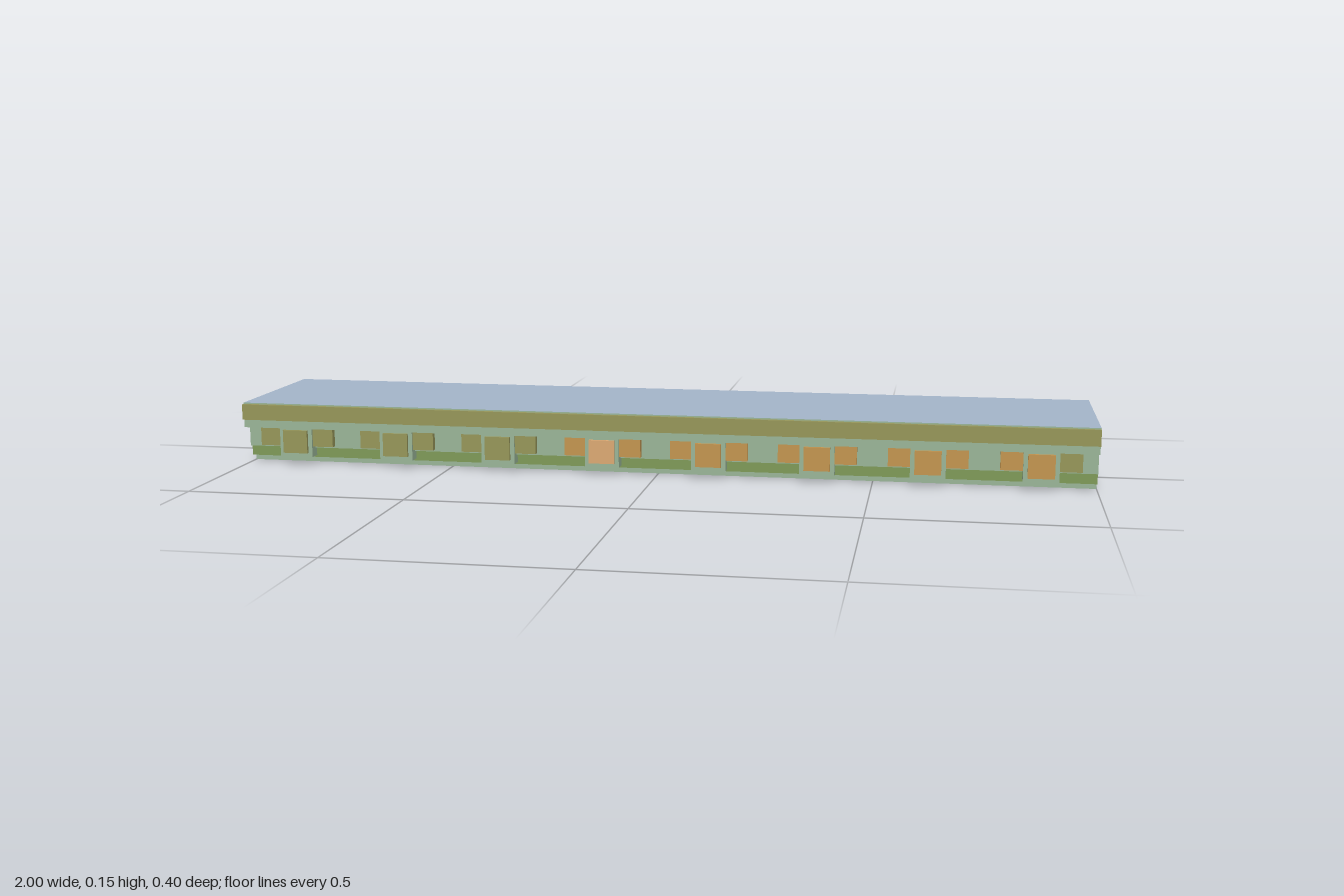
import * as THREE from 'three';

const mat = (name, color) => {
  const m = new THREE.MeshStandardMaterial({ color });
  m.name = name;
  return m;
};

export function createModel() {
  const wall = mat('pale green', 0x9ab598);
  const roof = mat('blue grey', 0xa3b5c9);
  const green = mat('leaf green', 0x7f9a58);
  const olive = mat('olive', 0x97975a);
  const orange = mat('orange', 0xc39650);
  const peach = mat('peach', 0xdcaa74);

  const group = new THREE.Group();
  group.name = 'cornice';

  // Box given by its low and high limits on each axis
  const box = (name, material, [x0, x1], [y0, y1], [z0, z1]) => {
    const mesh = new THREE.Mesh(new THREE.BoxGeometry(x1 - x0, y1 - y0, z1 - z0), material);
    mesh.position.set((x0 + x1) / 2, (y0 + y1) / 2, (z0 + z1) / 2);
    mesh.name = name;
    group.add(mesh);
  };
  // Same limits, with z measured outward from the centre on side s
  const sideBox = (name, material, s, x, y, [a, b]) =>
    box(name, material, x, y, s > 0 ? [a, b] : [-b, -a]);

  // Stepped core, with a blue-grey top face
  const full = [-1, 1];
  box('lowerCore', wall, full, [0, 0.04], [-0.13, 0.13]);
  box('middleCore', wall, full, [0.04, 0.09], [-0.16, 0.16]);
  box('upperCore', [wall, wall, roof, wall, wall, wall], full, [0.09, 0.15], [-0.19, 0.19]);

  // Colours along each side, from -x to +x: o olive, r orange, p peach, g green
  const palette = { o: olive, r: orange, p: peach, g: green };
  const sides = [
    { s: 1, name: 'front', band: olive, plates: 'oooprrrr', low: 'ooorrrrr', high: 'ooorrrro' },
    { s: -1, name: 'back', band: green, plates: 'ooorrrro', low: 'goorrrrr', high: 'gororrrg' },
  ];

  for (const { s, name, band, plates, low, high } of sides) {
    sideBox(name + 'TopBand', band, s, full, [0.11, 0.147], [0.19, 0.2]);
    sideBox(name + 'LowerMoulding', green, s, full, [0.015, 0.04], [0.13, 0.15]);

    // Brackets, each with a face plate and a panel on either side
    for (let i = 0; i < 8; i++) {
      const x = -0.875 + i * 0.25;
      sideBox(name + 'Bracket', wall, s, [x - 0.04, x + 0.04], [0.02, 0.09], [0.13, 0.18]);
      sideBox(name + 'BracketPlate', palette[plates[i]], s, [x - 0.03, x + 0.03], [0.03, 0.085], [0.18, 0.187]);
      sideBox(name + 'Panel', palette[low[i]], s, [x - 0.09, x - 0.04], [0.045, 0.09], [0.16, 0.175]);
      sideBox(name + 'Panel', palette[high[i]], s, [x + 0.04, x + 0.09], [0.045, 0.09], [0.16, 0.175]);
    }
  }
  return group;
}
